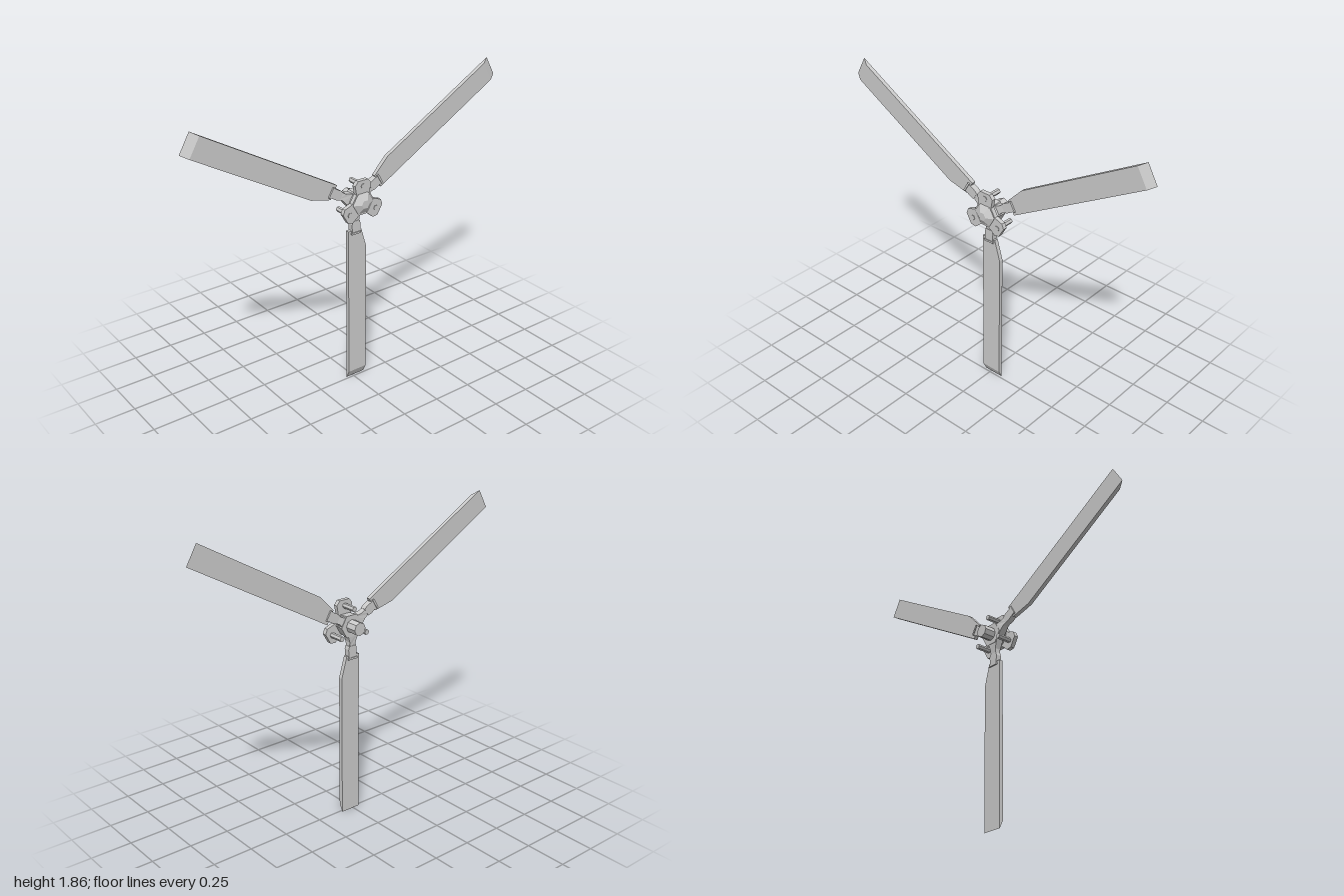
import * as THREE from 'three';

const material = new THREE.MeshStandardMaterial({
  color: 0xcccccc, flatShading: true, side: THREE.DoubleSide,
});

function part(name, geometry, parent) {
  const mesh = new THREE.Mesh(geometry, material);
  mesh.name = name;
  parent.add(mesh);
  return mesh;
}

// Plate from an outline in the rotor plane (u = -z, y), from x0 to x1
function plate(points, x0, x1) {
  const shape = new THREE.Shape(points.map(([u, y]) => new THREE.Vector2(u, y)));
  const g = new THREE.ExtrudeGeometry(shape, { depth: x1 - x0, bevelEnabled: false });
  return g.rotateY(Math.PI / 2).translate(x0, 0, 0);
}

// Move vertices by a rule
function reshape(g, rule) {
  const p = g.attributes.position;
  const v = new THREE.Vector3();
  for (let i = 0; i < p.count; i++) {
    v.fromBufferAttribute(p, i);
    rule(v);
    p.setXYZ(i, v.x, v.y, v.z);
  }
  g.computeVertexNormals();
  return g;
}

// Cylinder along x from x0 (radius r0) to x1 (radius r1)
function rod(r0, r1, x0, x1, sides) {
  return new THREE.CylinderGeometry(r1, r0, x1 - x0, sides)
    .rotateZ(-Math.PI / 2).translate((x0 + x1) / 2, 0, 0);
}

function createBladeArm() {
  const arm = new THREE.Group();
  arm.name = 'bladeArm';

  // Long blade with a clipped root corner and a sloped tip
  const blade = plate([[-0.051, -0.18], [-0.051, -1.194], [0.078, -1.194],
    [0.078, -0.31], [0.04, -0.18]], -0.015, 0.01);
  part('blade', reshape(blade, (v) => {
    if (v.y < -1.19 && v.x > 0) v.y += 0.05;
  }), arm);

  // Spoke that thins toward the grip
  const spoke = plate([[-0.045, -0.03], [-0.022, -0.095], [-0.022, -0.13],
    [0.022, -0.13], [0.022, -0.095], [0.045, -0.03]], -0.027, 0.022);
  part('spoke', reshape(spoke, (v) => {
    if (v.y < -0.09) v.x = v.x * (v.y < -0.12 ? 0.6 : 0.8);
  }), arm);

  // Grip holding the blade root
  part('grip', plate([[-0.024, -0.12], [-0.03, -0.14], [-0.028, -0.2],
    [0.028, -0.2], [0.03, -0.14], [0.024, -0.12]], -0.02, 0.016), arm);
  const bar = new THREE.BoxGeometry(0.044, 0.012, 0.066);
  part('gripBar', bar.translate(-0.002, -0.197, 0), arm);
  return arm;
}

export function createModel() {
  const model = new THREE.Group();
  model.name = 'rotor';

  // Three blades around the x axis
  const blades = new THREE.Group();
  blades.name = 'blades';
  blades.position.set(0, 1.194, -0.006);
  for (let i = 0; i < 3; i++) {
    const arm = createBladeArm();
    arm.rotation.x = (i * Math.PI * 2) / 3;
    blades.add(arm);
  }
  model.add(blades);

  // Hub with mast and nose
  const hub = new THREE.Group();
  hub.name = 'hub';
  hub.position.set(0, 1.2, -0.018);
  model.add(hub);
  part('mast', rod(0.04, 0.04, -0.1, -0.02, 8), hub);
  part('hubBody', rod(0.075, 0.065, -0.027, 0.042, 6), hub);
  part('noseBase', rod(0.078, 0.068, 0.055, 0.068, 6), hub);
  part('noseDome', rod(0.068, 0.027, 0.068, 0.09, 6), hub);

  // Three-lobed front plate
  const lobe = [[0.046, 0.06], [0.056, 0.115], [0.035, 0.141],
    [-0.035, 0.141], [-0.056, 0.115], [-0.046, 0.06]];
  const outline = [];
  for (let i = 0; i < 3; i++) {
    const a = (i * Math.PI * 2) / 3;
    const c = Math.cos(a), s = Math.sin(a);
    for (const [u, y] of lobe) outline.push([u * c - y * s, u * s + y * c]);

    // Pin through each lobe
    const pin = part('pin', rod(0.016, 0.016, -0.052, 0.067, 6), hub);
    pin.position.set(0, 0.106 * c, 0.106 * s);
  }
  part('frontPlate', plate(outline, 0.038, 0.064), hub);
  return model;
}
